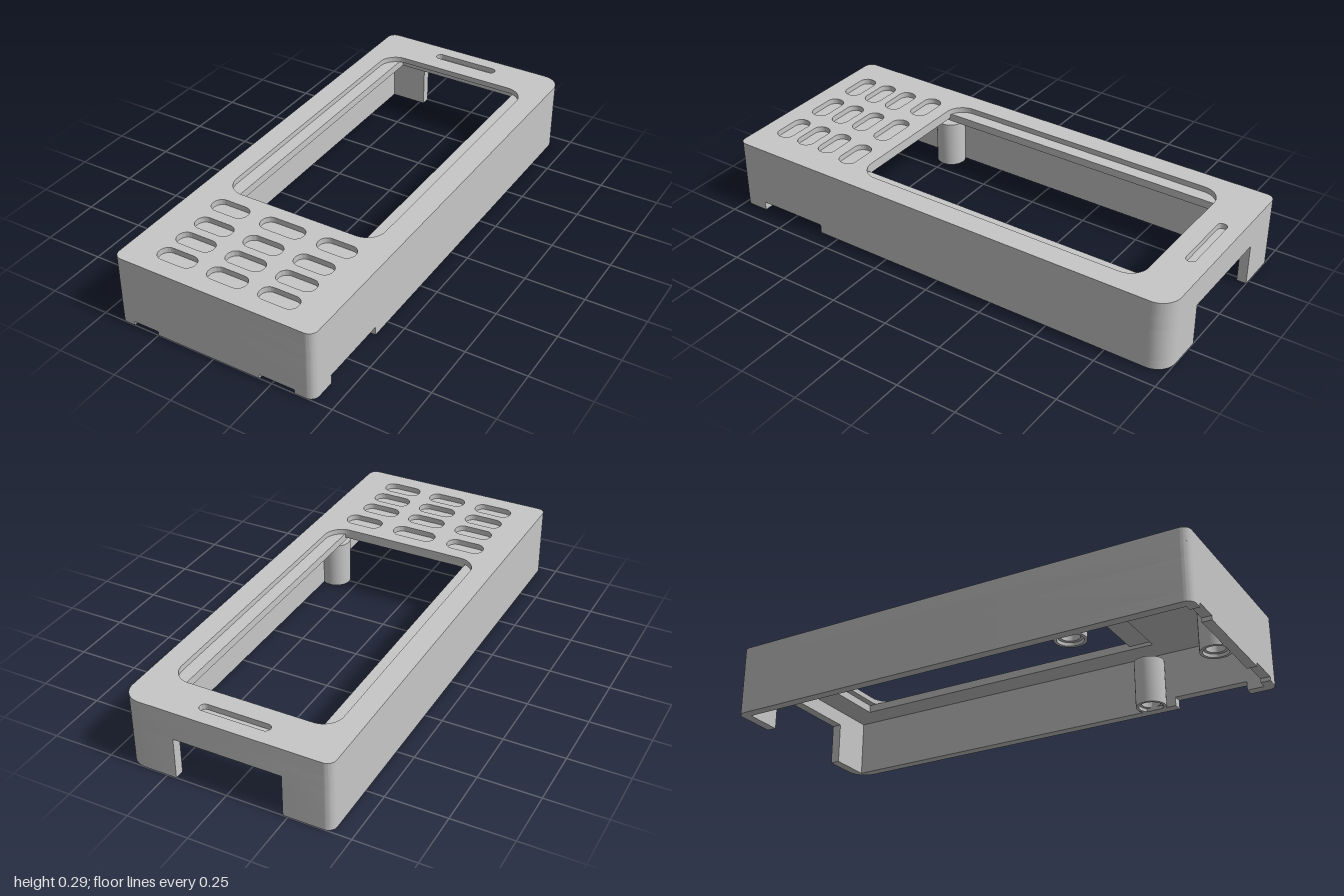
import * as THREE from 'three';
import { toCreasedNormals } from 'three/addons/utils/BufferGeometryUtils.js';

const W = 0.427, L = 1, T = 0.04;        // half width, half length, wall thickness
const FLOOR = 0.238, STEP = 0.253, LEDGE = 0.271, TOP = 0.294;
const R = 0.035, BIG_R = 0.08;           // corner radii; back left corner is larger

const shell = new THREE.MeshStandardMaterial({ color: 0xc7c7c7 });
shell.name = 'shellGrey';

// Rounded rectangle; radii in order front-right, back-right, back-left, front-left of the plan
function roundRect(path, x0, x1, z0, z1, radii) {
  const [a, b, c, d] = radii;
  path.moveTo(x0 + d, -z1);
  path.lineTo(x1 - a, -z1);
  path.absarc(x1 - a, -z1 + a, a, -Math.PI / 2, 0);
  path.lineTo(x1, -z0 - b);
  path.absarc(x1 - b, -z0 - b, b, 0, Math.PI / 2);
  path.lineTo(x0 + c, -z0);
  path.absarc(x0 + c, -z0 - c, c, Math.PI / 2, Math.PI);
  path.lineTo(x0, -z1 + d);
  path.absarc(x0 + d, -z1 + d, d, Math.PI, Math.PI * 1.5);
  return path;
}

// Extrude a plan shape upward between two heights
function slab(name, shape, y0, y1) {
  let g = new THREE.ExtrudeGeometry(shape, { depth: y1 - y0, bevelEnabled: false, curveSegments: 10 });
  g = toCreasedNormals(g.rotateX(-Math.PI / 2).translate(0, y0, 0), 0.6);
  const m = new THREE.Mesh(g, shell);
  m.name = name;
  return m;
}

// L-shaped wall corner: one arm along x to xEnd, the other along z to zEnd
function cornerShape(sx, sz, r, xEnd, zEnd) {
  const X = sx * W, Z = sz * L, pts = [[xEnd, Z]];
  for (let i = 0; i <= 10; i++) {
    const t = i / 10 * Math.PI / 2;
    pts.push([X - sx * r * (1 - Math.sin(t)), Z - sz * r * (1 - Math.cos(t))]);
  }
  pts.push([X, zEnd], [X - sx * T, zEnd], [X - sx * T, Z - sz * T], [xEnd, Z - sz * T]);
  return new THREE.Shape(pts.map(([x, z]) => new THREE.Vector2(x, -z)));
}

export function createModel() {
  const model = new THREE.Group();
  model.name = 'handsetCase';
  const outline = () => roundRect(new THREE.Shape(), -W, W, -L, L, [R, BIG_R, R, R]);

  // Face plate with window, key recesses and earpiece slot
  const face = outline();
  const hole = (cx, cz, w, h, r) => face.holes.push(
    roundRect(new THREE.Path(), cx - w / 2, cx + w / 2, cz - h / 2, cz + h / 2, [r, r, r, r]));
  hole(-0.001, -0.189, 0.672, 1.264, 0.08);
  hole(-0.002, -0.92, 0.288, 0.04, 0.0195);
  [[-0.238, 0.16], [-0.001, 0.188], [0.236, 0.16]].forEach(([x, w]) => hole(x, 0.542, w, 0.078, 0.037));
  for (const z of [0.667, 0.778, 0.888])
    for (const x of [-0.222, -0.001, 0.218]) hole(x, z, 0.162, 0.075, 0.035);
  model.add(slab('facePlate', face, LEDGE, TOP));

  // Inner plates: screen ledges and key floors, with a longer screen pocket underneath
  for (const [name, z1, y0, y1] of [['screenLedge', 0.443, STEP, LEDGE], ['screenPocket', 0.545, FLOOR, STEP]]) {
    const plate = outline();
    plate.holes.push(new THREE.Path([[-0.283, 0.85], [0.28, 0.85], [0.28, -z1], [-0.283, -z1]]
      .map(([x, y]) => new THREE.Vector2(x, y))));
    model.add(slab(name, plate, y0, y1));
  }

  // Walls in height bands; arm ends leave the back, side and front cut-outs.
  // Ends per band: back +x, front +x, front -x, back -x
  const corners = [[1, -1, BIG_R], [1, 1, R], [-1, 1, R], [-1, -1, R]];
  const bands = [
    [0, 0.017, [[0.212, 0.587], [0.345, 0.89], [-0.36, 0], [-0.23, 0]]],
    [0.017, 0.037, [[0.212, 0.587], [0, 0.89], [0, 0], [-0.23, 0]]],
    [0.037, 0.175, [[0.212, 0], [0, 0], [0, 0], [-0.23, 0]]],
    [0.175, FLOOR, [[0, 0], [0, 0], [0, 0], [0, 0]]],
  ];
  const walls = new THREE.Group();
  walls.name = 'walls';
  for (const [y0, y1, ends] of bands)
    corners.forEach((c, i) => walls.add(slab('wallCorner', cornerShape(...c, ...ends[i]), y0, y1)));
  const lip = new THREE.Mesh(new THREE.BoxGeometry(0.447, 0.017, T), shell);
  lip.name = 'frontLip';
  lip.position.set(-0.0265, 0.0085, L - T / 2);
  walls.add(lip);
  model.add(walls);

  // Screw posts with countersunk holes underneath
  const profile = [[0, 0.13], [0.037, 0.13], [0.037, 0.014], [0.05, 0.014], [0.05, 0],
    [0.062, 0], [0.062, 0.2], [0, 0.2]].map(([x, y]) => new THREE.Vector2(x, y));
  const postGeo = toCreasedNormals(new THREE.LatheGeometry(profile, 32).toNonIndexed(), 0.6);
  for (const [x, z] of [[-0.355, 0.495], [0.352, 0.495], [0, 0.915]]) {
    const post = new THREE.Mesh(postGeo, shell);
    post.name = 'screwPost';
    post.position.set(x, 0, z);
    model.add(post);
  }
  return model;
}
